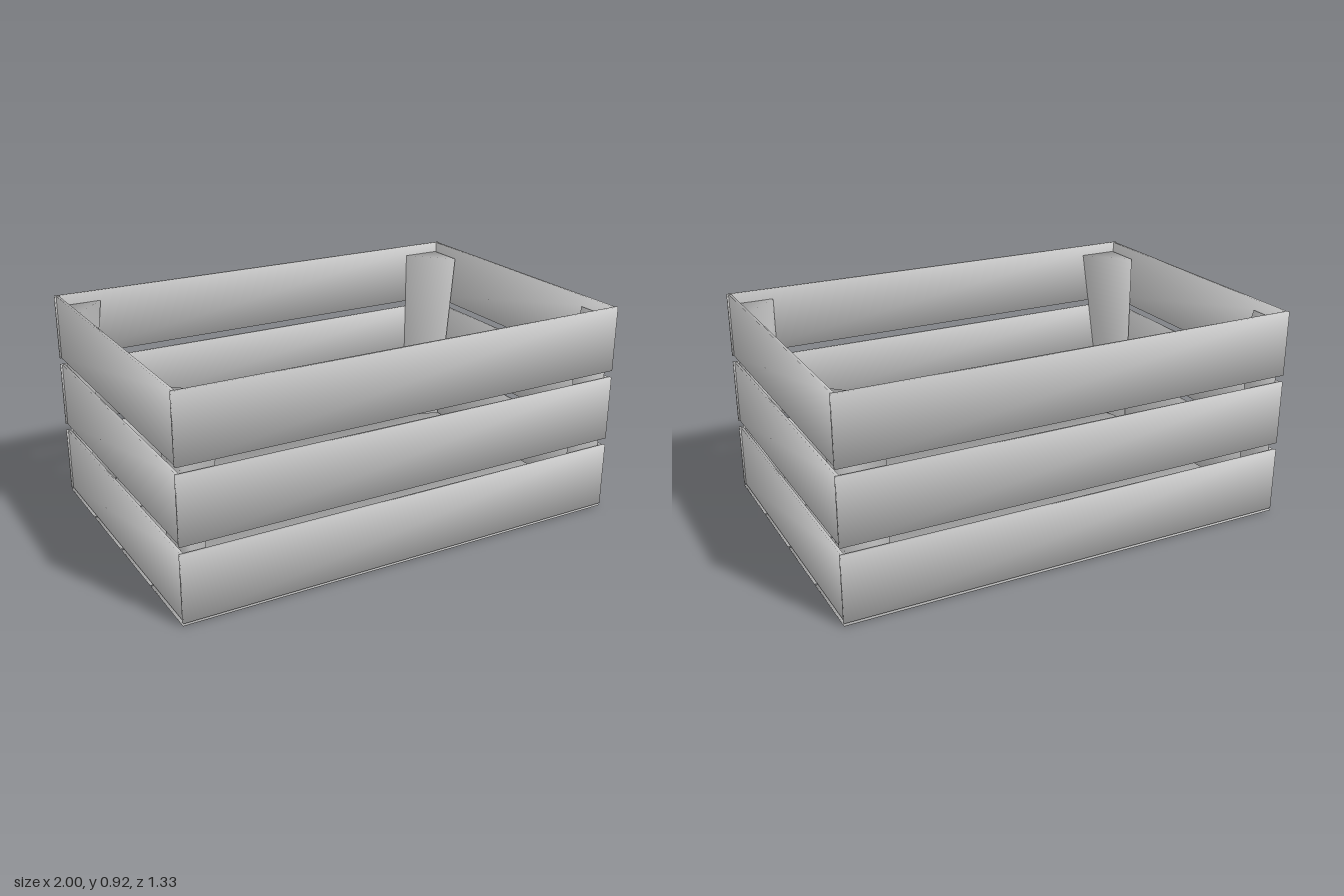
import * as THREE from 'three';

const material = new THREE.MeshStandardMaterial({ color: 0xcccccc, side: THREE.DoubleSide });

// Soft shading: every corner normal points away from the middle of the part
function softenCorners(geometry, center, weight) {
  const p = geometry.attributes.position;
  const v = new THREE.Vector3();
  for (let i = 0; i < p.count; i++) {
    v.fromBufferAttribute(p, i).sub(center);
    v.set(Math.sign(v.x), Math.sign(v.y), Math.sign(v.z)).multiply(weight).normalize();
    geometry.attributes.normal.setXYZ(i, v.x, v.y, v.z);
  }
  return geometry;
}

function slat(name, size, position, weight = new THREE.Vector3(1, 1, 1)) {
  const geometry = softenCorners(new THREE.BoxGeometry(...size), new THREE.Vector3(), weight);
  const mesh = new THREE.Mesh(geometry, material);
  mesh.name = name;
  mesh.position.set(...position);
  return mesh;
}

// Triangular post in a corner; its legs may be shorter at the foot than at the top
function cornerPost(name, sx, sz, footX, footZ) {
  const cx = 0.975, cz = 0.645, leg = 0.175, low = 0.015, high = 0.88;
  const ring = (y, lx, lz) => [
    [sx * cx, y, sz * cz],
    [sx * (cx - lx), y, sz * cz],
    [sx * cx, y, sz * (cz - lz)],
  ];
  const points = [...ring(low, footX, footZ), ...ring(high, leg, leg)];
  const index = [0, 1, 2, 3, 5, 4];
  for (let i = 0; i < 3; i++) {
    const j = (i + 1) % 3;
    index.push(i, i + 3, j, j, i + 3, j + 3);
  }
  // Mirrored corners need the opposite winding
  if (sx * sz < 0) index.reverse();
  const geometry = new THREE.BufferGeometry();
  geometry.setAttribute('position', new THREE.Float32BufferAttribute(points.flat(), 3));
  geometry.setIndex(index);
  geometry.computeVertexNormals();
  const mesh = new THREE.Mesh(geometry, material);
  mesh.name = name;
  return mesh;
}

export function createModel() {
  const crate = new THREE.Group();
  crate.name = 'slattedCrate';

  // Three rows of wall slats
  for (const y of [0.155, 0.47, 0.783]) {
    for (const s of [1, -1]) {
      crate.add(slat(s > 0 ? 'frontSlat' : 'backSlat', [2, 0.283, 0.012], [0, y, s * 0.658]));
      crate.add(slat(s > 0 ? 'leftSlat' : 'rightSlat', [0.012, 0.283, 1.3], [s * 0.988, y, 0]));
    }
  }

  // Four floor boards
  for (const z of [-0.502, -0.168, 0.168, 0.5]) {
    crate.add(slat('floorBoard', [2, 0.006, 0.318], [0, 0.003, z], new THREE.Vector3(1, 0.4, 1)));
  }

  // Corner posts, three of them tapering to the foot
  crate.add(cornerPost('frontLeftPost', 1, 1, 0.175, 0.175));
  crate.add(cornerPost('backLeftPost', 1, -1, 0.175, 0.07));
  crate.add(cornerPost('frontRightPost', -1, 1, 0.04, 0.175));
  crate.add(cornerPost('backRightPost', -1, -1, 0.04, 0.175));

  return crate;
}
